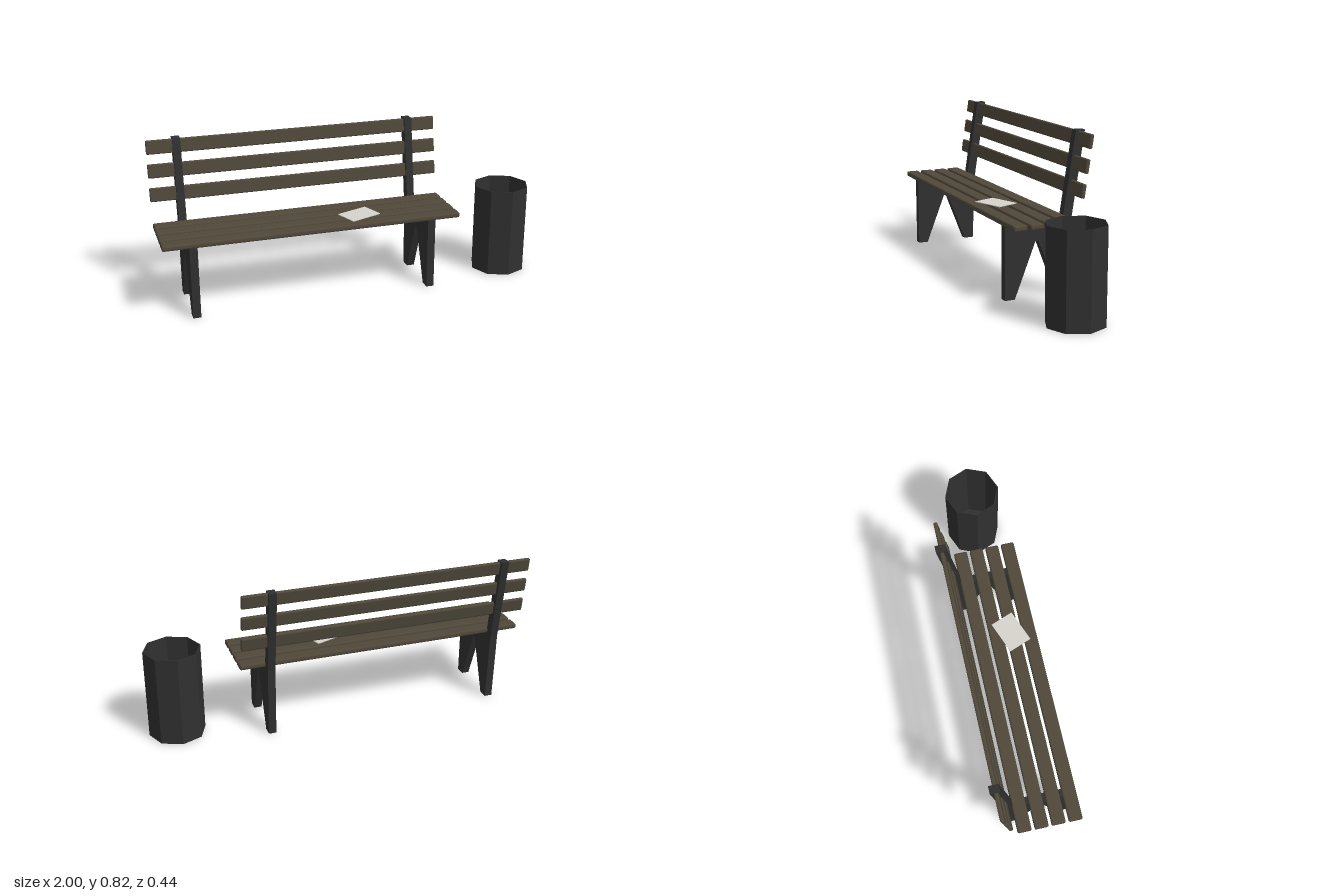
import * as THREE from 'three';
import { RoundedBoxGeometry } from 'three/addons/geometries/RoundedBoxGeometry.js';

const material = (name, color) => {
  const m = new THREE.MeshStandardMaterial({ color });
  m.name = name;
  return m;
};

// Faceted normals, so every chamfer and side reads as a flat plane
function faceted(geometry) {
  const g = geometry.index ? geometry.toNonIndexed() : geometry;
  g.computeVertexNormals();
  return g;
}

export function createModel() {
  const wood = material('darkWood', 0x4f483a);
  const iron = material('darkIron', 0x303031);
  const paperWhite = material('paperWhite', 0xd6d4cc);

  const model = new THREE.Group();
  model.name = 'parkBenchWithBin';
  const bench = new THREE.Group();
  bench.name = 'bench';
  model.add(bench);

  function add(parent, name, geometry, mat, x, y, z) {
    const mesh = new THREE.Mesh(geometry, mat);
    mesh.name = name;
    mesh.position.set(x, y, z);
    parent.add(mesh);
    return mesh;
  }

  const slatLength = 1.545;
  const slatX = -0.2275;

  // Four seat slats with chamfered edges
  const seatSlat = faceted(new RoundedBoxGeometry(slatLength, 0.028, 0.071, 1, 0.008));
  for (let i = 0; i < 4; i++) {
    add(bench, `seatSlat${i + 1}`, seatSlat, wood, slatX, 0.39, 0.185 - i * 0.0865);
  }

  // Three back slats let into the leaning posts
  const backSlat = faceted(new RoundedBoxGeometry(slatLength, 0.071, 0.02, 1, 0.006));
  for (let i = 0; i < 3; i++) {
    const slat = add(bench, `backSlat${i + 1}`, backSlat, wood, slatX, 0.54 + i * 0.12, -0.149 - i * 0.0185);
    slat.rotation.x = -0.155;
  }

  // End frames: legs with a V notch and the back post in one side profile (z, y)
  const profile = [
    [0.21, 0], [0.21, 0.374], [-0.1, 0.374], [-0.106, 0.41], [-0.17, 0.82], [-0.22, 0.82],
    [-0.15, 0.375], [-0.134, 0], [-0.08, 0], [0.03, 0.285], [0.046, 0.285], [0.157, 0],
  ];
  const frame = new THREE.ExtrudeGeometry(
    new THREE.Shape(profile.map(([z, y]) => new THREE.Vector2(z, y))),
    { depth: 0.04, bevelEnabled: false },
  );
  frame.translate(0, 0, -0.02).rotateY(-Math.PI / 2);
  add(bench, 'rightEndFrame', frame, iron, -0.847, 0, 0);
  add(bench, 'leftEndFrame', frame, iron, 0.393, 0, 0);

  // Sheet of paper lying on the seat
  const paper = add(model, 'paperSheet', new THREE.BoxGeometry(0.178, 0.004, 0.126), paperWhite, 0.035, 0.407, 0.091);
  paper.rotation.y = 0.368;

  // Open eight-sided bin with a thin rim and a floor
  const binProfile = [
    [0, 0], [0.147, 0], [0.147, 0.475], [0.143, 0.475], [0.134, 0.02], [0, 0.02],
  ].map(([r, y]) => new THREE.Vector2(r, y));
  add(model, 'litterBin', faceted(new THREE.LatheGeometry(binProfile, 8)), iron, 0.853, 0, 0.056);

  return model;
}
